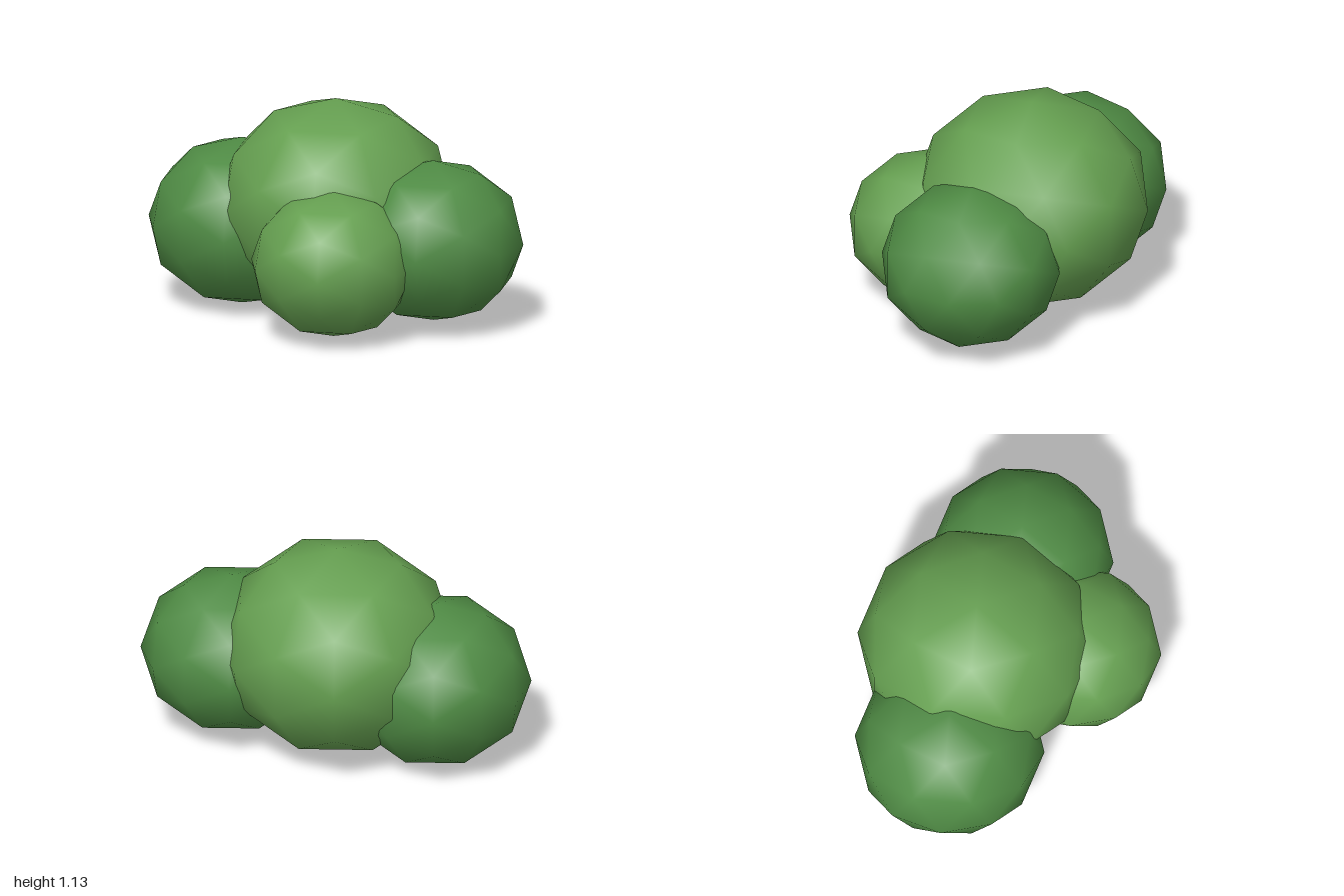
import * as THREE from 'three';

export function createModel() {
  const group = new THREE.Group();
  group.name = 'bush';

  const lightLeaves = new THREE.MeshStandardMaterial({ color: 0x659f50 });
  const darkLeaves = new THREE.MeshStandardMaterial({ color: 0x4f8b44 });

  // Low-poly ball with smooth normals, shared by every clump
  const ball = new THREE.IcosahedronGeometry(1, 1);

  // Each clump is a ball flattened to 90% of its height
  function addClump(name, material, radius, x, y, z) {
    const mesh = new THREE.Mesh(ball, material);
    mesh.name = name;
    mesh.position.set(x, y, z);
    mesh.scale.set(radius, radius * 0.9, radius);
    group.add(mesh);
  }

  addClump('mainClump', lightLeaves, 0.61, -0.01, 0.583, -0.163);
  addClump('leftClump', darkLeaves, 0.467, 0.533, 0.46, 0.018);
  addClump('rightClump', darkLeaves, 0.485, -0.515, 0.44, -0.255);
  addClump('frontClump', lightLeaves, 0.427, 0.08, 0.402, 0.345);

  return group;
}
